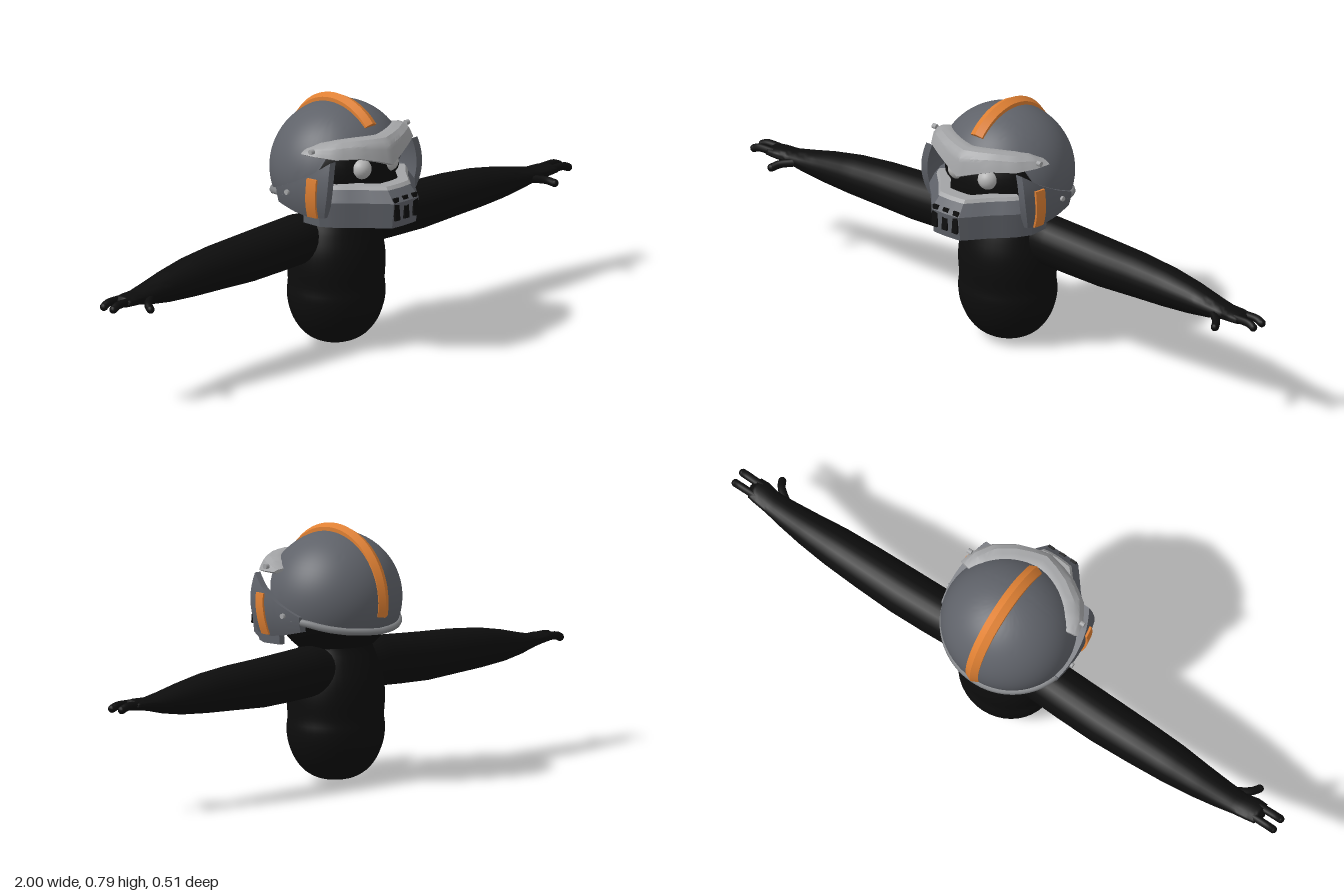
import * as THREE from 'three';
import { mergeGeometries, toCreasedNormals } from 'three/addons/utils/BufferGeometryUtils.js';

const paint = (name, color) => Object.assign(new THREE.MeshStandardMaterial({ color }), { name });
const black = paint('black', 0x0d0d0d);
const slate = paint('slate grey', 0x5f6269);
const silver = paint('silver', 0xa3a4a6);
const steel = paint('steel', 0x828487);
const orange = paint('orange', 0xdf8033);
const eyeWhite = paint('eye white', 0xb4b4b4);

const C = new THREE.Vector3(0, 0.56, -0.04); // centre of the head
const V = (x, y, z) => new THREE.Vector3(x, y, z);

// Linear interpolation between the rows of a small table, t in 0..1
function sample(rows, t) {
  const f = Math.min(Math.max(t, 0), 1) * (rows.length - 1);
  const i = Math.min(Math.floor(f), rows.length - 2);
  return rows[i].map((a, k) => a + (rows[i + 1][k] - a) * (f - i));
}

// Surface through fn(u, v)
function grid(fn, nu, nv) {
  const pos = [], idx = [], n = nv + 1;
  for (let i = 0; i <= nu; i++)
    for (let j = 0; j <= nv; j++) pos.push(...fn(i / nu, j / nv).toArray());
  for (let i = 0; i < nu; i++)
    for (let j = 0; j < nv; j++) {
      const a = i * n + j, b = a + n;
      idx.push(a, b, b + 1, a, b + 1, a + 1);
    }
  const g = new THREE.BufferGeometry();
  g.setAttribute('position', new THREE.Float32BufferAttribute(pos, 3));
  g.setIndex(idx);
  return g;
}

// Closed plate between an outer and an inner surface
function slab(out, inn, nu, nv, crease = 0.6) {
  const mix = (u, v, t) => inn(u, v).lerp(out(u, v), t);
  return toCreasedNormals(mergeGeometries([
    grid(out, nu, nv),
    grid((u, v) => inn(1 - u, v), nu, nv),
    grid((u, t) => mix(u, 0, t), nu, 1),
    grid((u, t) => mix(u, 1, 1 - t), nu, 1),
    grid((t, v) => mix(0, v, t), 1, nv),
    grid((t, v) => mix(1, v, 1 - t), 1, nv),
  ]), crease);
}

// Lower edge height of the helmet, from the front (0) to the back (1)
const EDGE = [[0.66], [0.66], [0.655], [0.645], [0.54], [0.51], [0.505], [0.49], [0.48], [0.475], [0.472]];
const edgeY = (phi) => sample(EDGE, Math.abs(phi) / Math.PI)[0];
function onDome(phi, y, k = 1) {
  const r = Math.sqrt(Math.max(0, 1 - ((y - C.y) / 0.205) ** 2));
  return V(Math.sin(phi) * 0.213 * r * k, (y - C.y) * k + C.y, Math.cos(phi) * 0.203 * r * k + C.z);
}

// Chin guard outline in plan: x, z
const CHIN = [[0.195, 0.005], [0.193, 0.07], [0.165, 0.115], [0.11, 0.17], [0.075, 0.213], [0.052, 0.24], [0, 0.243]];
function chinPoint(u, y, inset = 0) {
  const s = u * 2 - 1, [x, z] = sample(CHIN, 1 - Math.abs(s));
  const lean = y < 0.51 ? (y - 0.43) * 0.1 : 0.008 - (y - 0.51) * 0.75;
  const k = 1 + (lean - inset) / 0.22;
  return V(Math.sign(s) * x * k, y, (z + 0.02) * k - 0.02);
}

// Visor half section: x, z, lower y, upper y
const VISOR = [[0.215, 0.012, 0.654, 0.662], [0.204, 0.06, 0.652, 0.68], [0.168, 0.115, 0.646, 0.689],
  [0.105, 0.157, 0.645, 0.693], [0.05, 0.18, 0.63, 0.692], [0, 0.195, 0.613, 0.691]];
const VISOR_TUCK = [[0, 0], [0.03, 0.4], [0.06, 0.72], [0.14, 1], [0.29, 1.03]];
function visorPoint(u, v, inset = 0) {
  const s = u * 2 - 1, [x, z, lo, hi] = sample(VISOR, 1 - Math.abs(s));
  const [tuck, h] = sample(VISOR_TUCK, v), k = 1 - tuck - inset;
  return V(Math.sign(s) * x * k, lo + (hi - lo) * h - inset * 0.1, (z - C.z) * k + C.z);
}

// Ear guard edges from front to back: lower z, y and upper z, y
const GUARD = [[0.093, 0.462, 0.112, 0.64], [0.035, 0.455, 0.06, 0.6], [-0.02, 0.462, -0.01, 0.562], [-0.09, 0.478, -0.092, 0.525]];
const guardX = (y, z) => 0.225 - 2.2 * (y - 0.55) ** 2 - 1.2 * (z + 0.01) ** 2;

// Arm sections: x, centre y, centre z, half height, half depth
const ARM = [[0.05, 0.345, -0.068, 0.07, 0.065], [0.15, 0.35, -0.068, 0.078, 0.073], [0.25, 0.345, -0.07, 0.077, 0.074],
  [0.37, 0.34, -0.071, 0.075, 0.074], [0.5, 0.34, -0.07, 0.069, 0.07], [0.62, 0.337, -0.068, 0.061, 0.064],
  [0.72, 0.332, -0.066, 0.049, 0.054], [0.8, 0.329, -0.062, 0.034, 0.045], [0.86, 0.33, -0.058, 0.021, 0.038],
  [0.9, 0.333, -0.052, 0.018, 0.04], [0.93, 0.333, -0.05, 0.015, 0.037], [0.945, 0.332, -0.05, 0.001, 0.001]];
const FINGERS = [[[0.91, 0.335, -0.07], [0.97, 0.334, -0.07], [0.988, 0.327, -0.068]],
  [[0.91, 0.335, -0.032], [0.97, 0.334, -0.03], [0.988, 0.327, -0.028]],
  [[0.82, 0.328, -0.035], [0.865, 0.32, 0.0], [0.878, 0.313, 0.022]]];

export function createModel() {
  const model = new THREE.Group();
  const add = (name, geo, mat, parent = model) => {
    const m = new THREE.Mesh(geo, mat);
    m.name = name;
    parent.add(m);
    return m;
  };

  // Rounded torso and neck
  const profile = [[0, 0], [0.05, 0.008], [0.09, 0.03], [0.12, 0.067], [0.139, 0.115], [0.145, 0.16], [0.142, 0.2], [0.145, 0.26],
    [0.14, 0.315], [0.125, 0.37], [0.107, 0.42], [0.11, 0.45], [0.15, 0.5]].map((p) => new THREE.Vector2(...p));
  const smooth = new THREE.SplineCurve(profile).getPoints(48);
  smooth[0].set(0, 0);
  const torso = add('torso', new THREE.LatheGeometry(smooth, 40), black);
  torso.scale.x = 1.07;
  torso.position.z = -0.047;

  // Head and eyes
  const head = add('head', new THREE.SphereGeometry(1, 40, 28), black);
  head.scale.set(0.19, 0.185, 0.18);
  head.position.copy(C);
  for (const s of [-1, 1])
    add('eye', new THREE.SphereGeometry(0.032, 24, 16), eyeWhite).position.set(s * 0.059, 0.594, 0.116);

  // Helmet shell with a face opening
  const dome = (k) => (u, v) => {
    const phi = (u * 2 - 1) * Math.PI;
    const low = Math.acos((edgeY(phi) - C.y) / 0.205);
    return onDome(phi, C.y + 0.205 * Math.cos(low * (1 - v)), k);
  };
  add('helmetShell', slab(dome(1), dome(0.955), 80, 22), slate);

  // Ridged crest strip over the top
  const crest = (r, ridge) => (u, v) => {
    const a = THREE.MathUtils.degToRad(46 + 145 * v), R = r + ridge * (1 - Math.abs(2 * u - 1));
    return V((u - 0.5) * 0.045, C.y + R * Math.sin(a), C.z + R * Math.cos(a) * 0.94);
  };
  add('crest', slab(crest(0.216, 0.011), crest(0.192, 0), 4, 36, 0.3), orange);

  // Neck rim along the back edge
  const rim = [];
  for (let i = 0; i <= 20; i++) {
    const a = THREE.MathUtils.degToRad(95 + 8.5 * i), phi = a > Math.PI ? a - 2 * Math.PI : a;
    rim.push(onDome(phi, edgeY(phi) + 0.002, 1.01));
  }
  add('neckRim', new THREE.TubeGeometry(new THREE.CatmullRomCurve3(rim), 60, 0.011, 8), steel);

  // Chin guard, its upper lip and the breathing slots
  const chin = (inset) => (u, v) => chinPoint(u, 0.43 + 0.12 * v, inset);
  add('chinGuard', slab(chin(0), chin(0.022), 24, 12, 0.4), slate);
  const lip = (inset) => (u, v) => chinPoint(0.14 + 0.72 * u, 0.546 + 0.01 * v, inset);
  add('chinLip', slab(lip(-0.004), lip(0.028), 24, 1, 0.4), silver);
  for (const x of [-0.04, 0, 0.04]) {
    const slot = add('breathingSlot', new THREE.BoxGeometry(0.02, 0.07, 0.008), black);
    slot.position.set(x, 0.49, 0.247);
    slot.rotation.x = -0.1;
  }

  // Peaked visor
  add('visor', slab((u, v) => visorPoint(u, v), (u, v) => visorPoint(u, v, 0.06), 30, 8, 0.5), silver);

  for (const s of [1, -1]) {
    const side = new THREE.Group();
    side.name = s > 0 ? 'leftSide' : 'rightSide';
    model.add(side);
    // Mirrors a surface and keeps its facing
    const flip = (fn) => (u, v) => {
      const p = fn(s > 0 ? u : 1 - u, v);
      p.x *= s;
      return p;
    };

    // Ear guard
    const guard = (inset) => flip((u, v) => {
      const [zl, yl, zh, yh] = sample(GUARD, u);
      const z = zl + (zh - zl) * v + 0.013 * Math.sin(Math.PI * v) * (1 - u), y = yl + (yh - yl) * v;
      return V(guardX(y, z) - inset, y, z);
    });
    add('earGuard', slab(guard(0), guard(0.024), 18, 10), slate, side);

    // Orange stripe on the guard
    const stripe = (lift) => flip((u, v) => {
      const y = 0.459 + 0.127 * v, z = 0.071 - 0.035 * u + 0.01 * Math.min(1, v * 1.3);
      return V(guardX(y, z) + lift, y, z);
    });
    add('earStripe', slab(stripe(0.007), stripe(-0.004), 4, 12), orange, side);

    // Screws of the guard and the visor
    for (const [x, y, z] of [[0.224, 0.525, -0.035], [0.207, 0.667, 0.05]]) {
      const screw = add('screw', new THREE.CylinderGeometry(0.008, 0.008, 0.014, 12), silver, side);
      screw.rotation.z = Math.PI / 2;
      screw.position.set(s * x, y, z);
    }

    // Arm
    const arm = flip((u, v) => {
      const [x, y, z, h, d] = sample(ARM, v), a = u * 2 * Math.PI;
      return V(x, y + h * Math.cos(a), z + d * Math.sin(a));
    });
    add('arm', toCreasedNormals(grid(arm, 24, 44), 1.2), black, side);

    // Fingers and thumb
    for (const pts of FINGERS) {
      const path = pts.map(([x, y, z]) => V(s * x, y, z));
      add('finger', new THREE.TubeGeometry(new THREE.CatmullRomCurve3(path), 12, 0.0125, 10), black, side);
      add('fingertip', new THREE.SphereGeometry(0.0125, 12, 8), black, side).position.copy(path[2]);
    }
  }
  return model;
}
